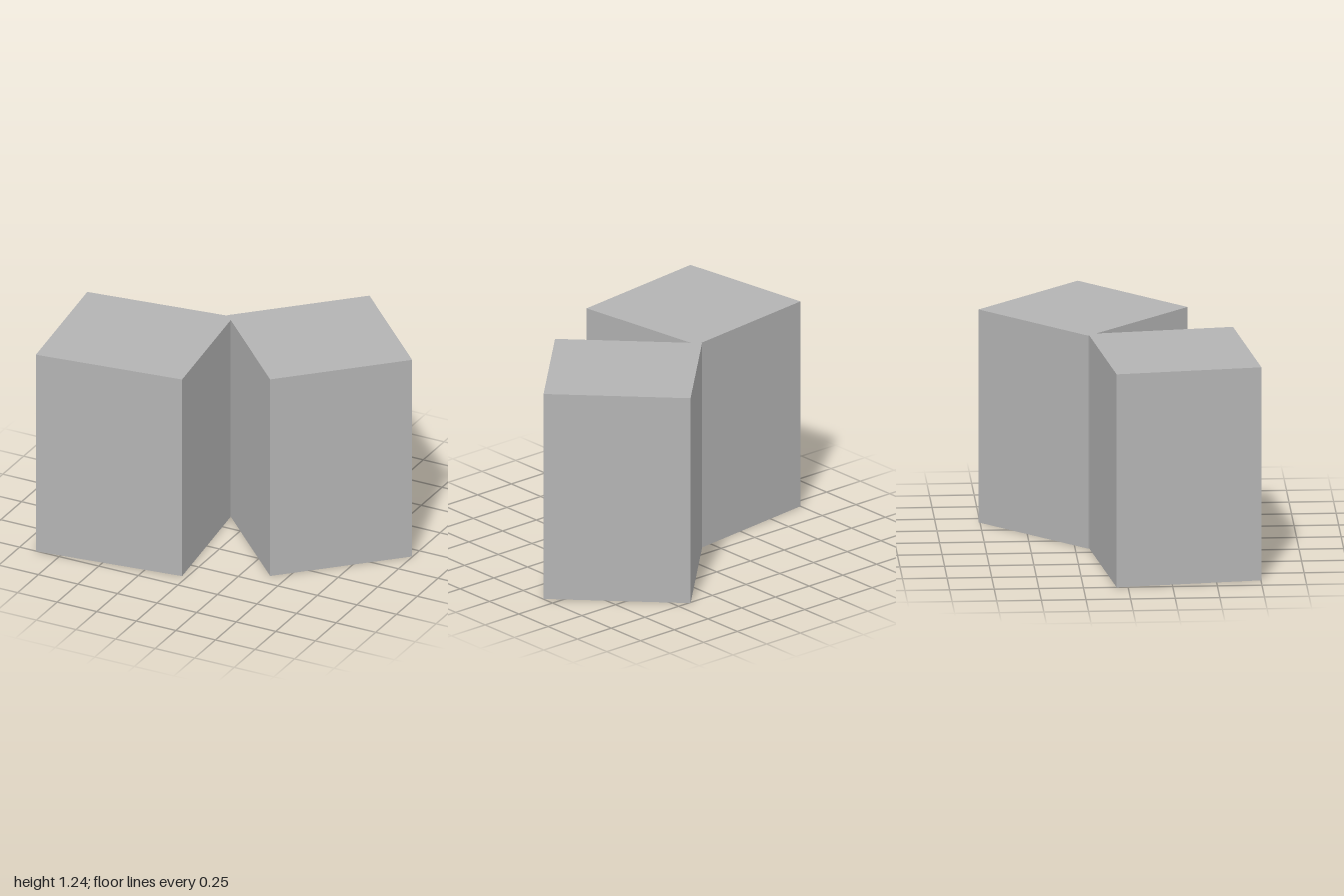
import * as THREE from 'three';

const HEIGHT = 1.235;

export function createModel() {
  const model = new THREE.Group();
  const grey = new THREE.MeshStandardMaterial({ color: 0xb3b3b3 });
  grey.name = 'plain grey';

  // Upright block standing on the ground, turned about its vertical axis
  function addBlock(name, width, depth, x, z, turn) {
    const block = new THREE.Mesh(new THREE.BoxGeometry(width, HEIGHT, depth), grey);
    block.name = name;
    block.position.set(x, HEIGHT / 2, z);
    block.rotation.y = turn;
    model.add(block);
  }

  // Two blocks that overlap slightly at one corner
  addBlock('rightBlock', 0.873, 0.824, -0.515, 0.289, 0.127);
  addBlock('leftBlock', 0.83, 0.825, 0.412, -0.173, 0.777);

  return model;
}
